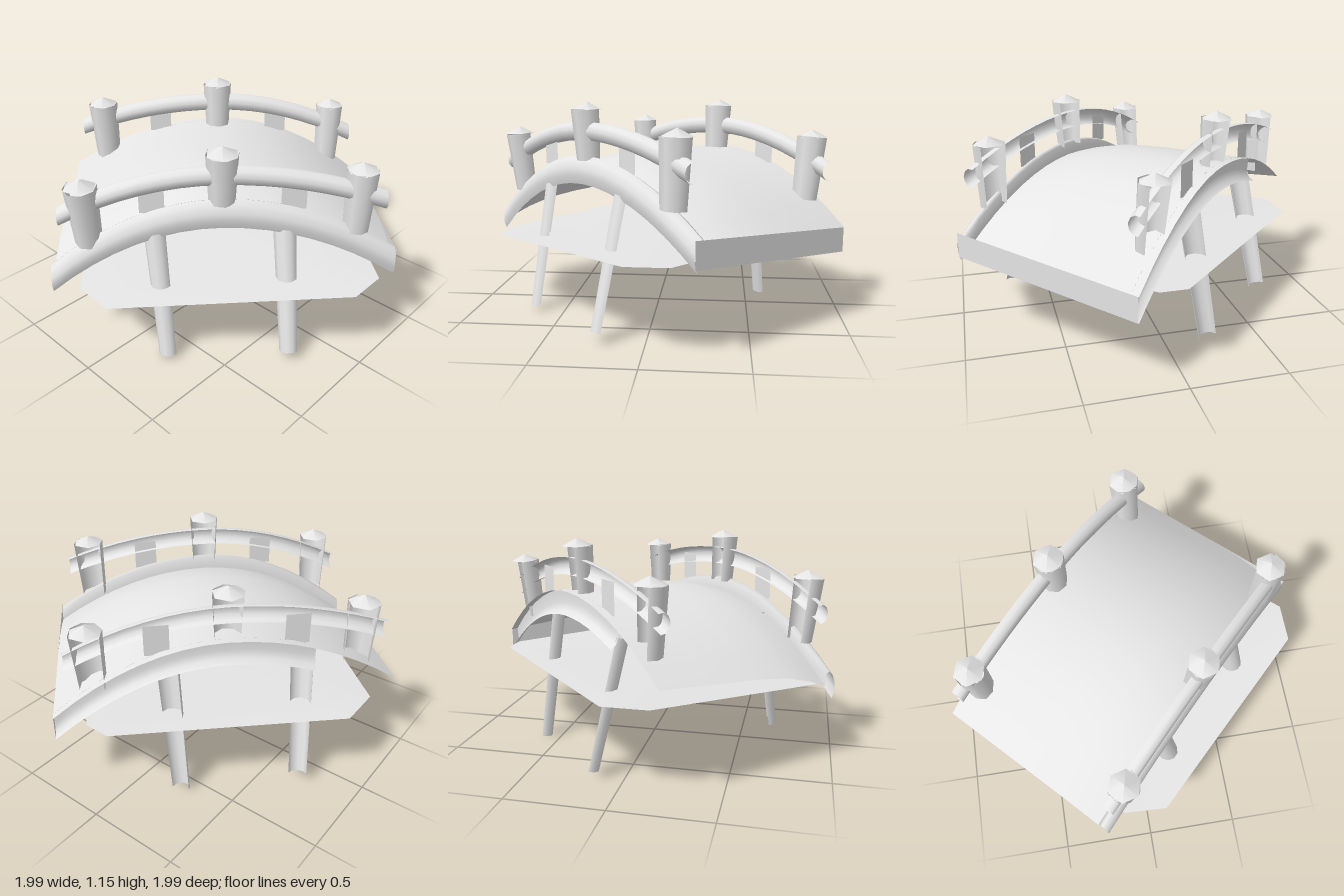
import * as THREE from 'three';

const stone = new THREE.MeshStandardMaterial({ color: 0xe6e6e6, side: THREE.DoubleSide });
stone.name = 'pale stone';

const HALF = 0.875;
// Height of the arch; the two diagonal pairs of corners differ slightly
const arch = (s, t) => 0.86 - 0.33 * (s / HALF) ** 2 + 0.04 * (s / HALF) * (t / 0.52) * Math.abs(s / HALF);

function mesh(name, geometry, parent) {
  const m = new THREE.Mesh(geometry, stone);
  m.name = name;
  parent.add(m);
  return m;
}

function build(pos, index) {
  const g = new THREE.BufferGeometry();
  g.setAttribute('position', new THREE.Float32BufferAttribute(pos, 3));
  g.setIndex(index);
  g.computeVertexNormals();
  return g;
}

// Smooth sheet lofted along s from s0 to s1; section(s) gives a row of [t, y]
function loft(section, s0, s1, steps = 16) {
  const pos = [], index = [];
  let n = 0;
  for (let i = 0; i <= steps; i++) {
    const s = s0 + (s1 - s0) * i / steps;
    const row = section(s);
    n = row.length;
    for (const [t, y] of row) pos.push(s, y, t);
  }
  for (let i = 0; i < steps; i++) for (let j = 0; j < n - 1; j++) {
    const a = i * n + j, b = a + n;
    index.push(a, a + 1, b, b, a + 1, b + 1);
  }
  return build(pos, index);
}

// Section that follows the arch, from a profile of [t, height above the arch]
const onArch = (profile) => (s) => profile.map(([t, dy]) => [t, arch(s, t) + dy]);

// Half pipe section of a handrail, open towards the back
const railSection = (side) => (s) => {
  const y = arch(s, side * 0.5) + 0.127 + 0.12 * (s / HALF) ** 2;
  return Array.from({ length: 7 }, (_, j) => {
    const a = Math.PI * (0.62 - 1.16 * j / 6);
    return [side * 0.475 + 0.045 * Math.cos(a), y + 0.049 * Math.sin(a)];
  });
};

// Open half shell of a tapered column between two points
function shell(name, parent, bottom, top, rBottom, rTop, facing, sweep) {
  const a = new THREE.Vector3(...bottom), b = new THREE.Vector3(...top);
  const dir = b.clone().sub(a);
  const geo = new THREE.CylinderGeometry(rTop, rBottom, dir.length(), 5, 1, true, facing - sweep / 2, sweep);
  const m = mesh(name, geo, parent);
  m.position.copy(a).add(b).multiplyScalar(0.5);
  m.quaternion.setFromUnitVectors(new THREE.Vector3(0, 1, 0), dir.normalize());
}

export function createModel() {
  const model = new THREE.Group();
  model.name = 'arched footbridge';

  // The bridge runs along local x and is turned diagonally
  const bridge = new THREE.Group();
  bridge.name = 'bridge';
  bridge.rotation.y = Math.PI / 4;
  model.add(bridge);

  // Walkway, sagging towards the front beam, and its side beams
  mesh('deck', loft(onArch([[-0.53, 0], [-0.25, 0], [0, 0], [0.2, -0.01], [0.35, -0.04], [0.46, -0.075]]), -HALF, HALF), bridge);
  mesh('frontBeam', loft(onArch([[0.46, -0.075], [0.465, -0.01], [0.485, 0], [0.51, -0.02], [0.528, -0.06], [0.53, -0.1], [0.515, -0.145]]), -HALF, HALF), bridge);
  mesh('backBeam', loft(onArch([[-0.53, -0.13], [-0.5, -0.11], [-0.485, -0.07], [-0.49, 0]]), -0.45, HALF), bridge);

  // Board closing the far end
  const yA = arch(HALF, -0.525), yB = arch(HALF, 0.525);
  mesh('endBoard', build([
    HALF, yA - 0.13, -0.525, HALF, yA, -0.525, HALF, yB, 0.525, HALF, yB - 0.13, 0.525,
  ], [0, 1, 2, 0, 2, 3]), bridge);

  for (const side of [-1, 1]) {
    const railing = new THREE.Group();
    railing.name = side > 0 ? 'frontRailing' : 'backRailing';
    bridge.add(railing);
    mesh('handrail', loft(railSection(side), -0.81, 0.8), railing);

    // Posts with pointed caps
    for (const dir of [-1, 0, 1]) {
      const s = dir * 0.68 - 0.005;
      const base = arch(s, side * 0.5);
      const yTop = base + (dir ? 0.31 : 0.24);
      const t = side * 0.475 - dir * 0.02;
      shell('post', railing, [s * 0.985, base - 0.02, side * 0.46], [s, yTop, t], 0.069, 0.083, -0.2, 4);
      const cap = mesh('postCap', new THREE.ConeGeometry(0.083, 0.04, 6, 1), railing);
      cap.position.set(s, yTop + 0.018, t);
    }

    // Flat balusters between the posts
    for (const s of [-0.35, 0.345]) {
      const b = mesh('baluster', new THREE.PlaneGeometry(0.125, 0.165), railing);
      b.position.set(s, arch(s, side * 0.5) + 0.07, side * 0.485);
    }
  }

  // Splayed legs: bottom and top points
  const legs = [
    [[0.34, 0.04, 0.65], [0.31, 0.72, 0.455]],
    [[-0.29, 0.01, 0.62], [-0.34, 0.72, 0.455]],
    [[-0.37, 0.04, -0.615], [-0.39, 0.7, -0.46]],
    [[0.26, 0, -0.59], [0.3, 0.7, -0.48]],
  ];
  for (const [bottom, top] of legs) shell('leg', bridge, bottom, top, 0.05, 0.062, -0.6, 3.1);

  // Thin water sheet with cut corners, dipping slightly at the front
  const rim = [[-0.02, -0.89], [0.12, -0.89], [0.97, -0.14], [0.97, 0.07], [0.09, 0.91], [-0.14, 0.9], [-0.9, 0.18], [-0.9, -0.05]];
  const pos = [0, 0.44, 0], index = [];
  rim.forEach(([x, z], i) => {
    pos.push(x, z > 0.5 ? 0.377 : 0.445, z);
    index.push(0, (i + 1) % rim.length + 1, i + 1);
  });
  mesh('waterSheet', build(pos, index), model);

  return model;
}
